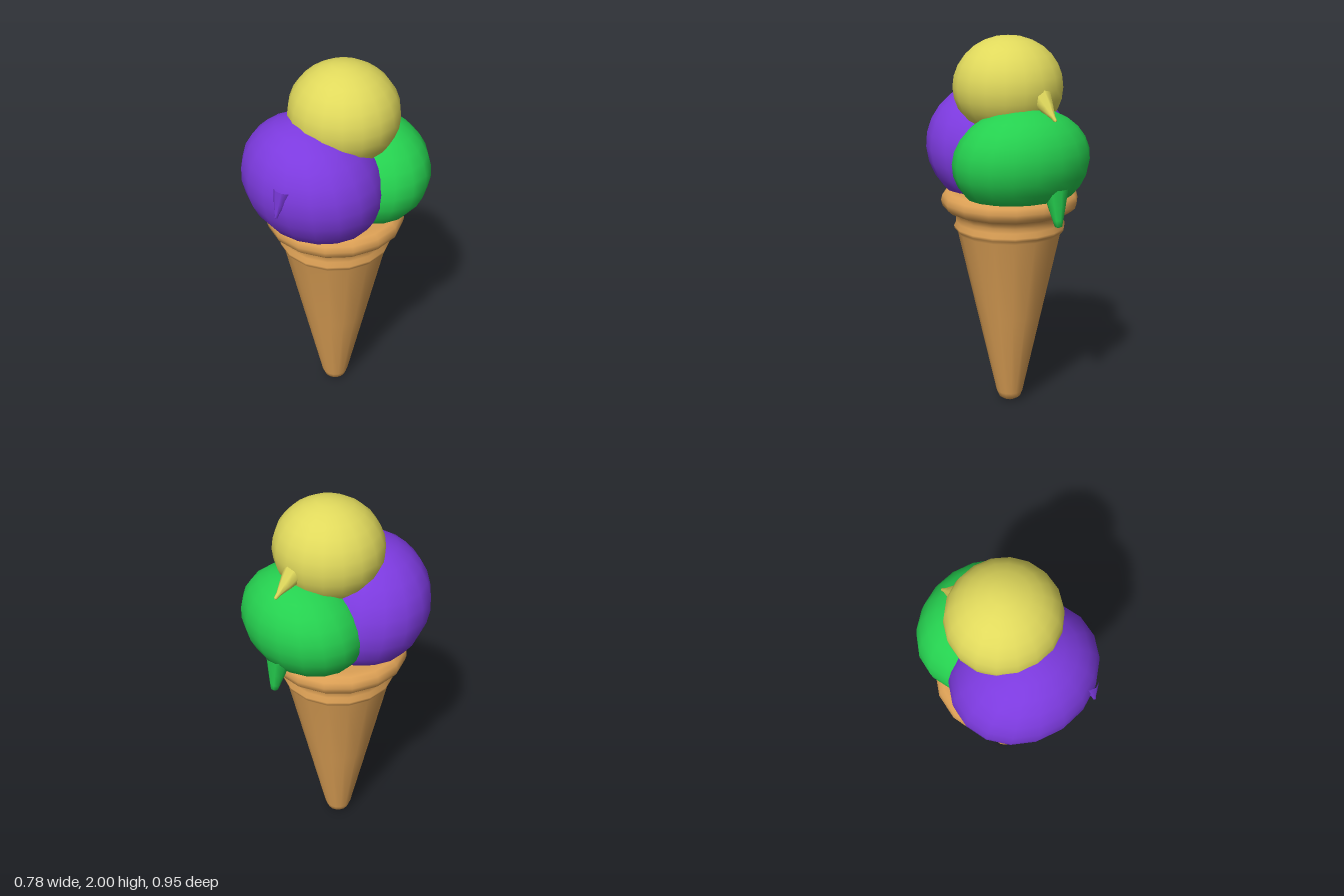
import * as THREE from 'three';

function material(name, color) {
  const m = new THREE.MeshStandardMaterial({ color });
  m.name = name;
  return m;
}

// Ellipsoid scoop: flattened at floorY, leaning along z with height
function scoop(name, mat, [cx, cy, cz], [rx, ry, rz], floorY, lean) {
  const geo = new THREE.SphereGeometry(1, 18, 14);
  const p = geo.attributes.position;
  for (let i = 0; i < p.count; i++) {
    const h = p.getY(i) * ry;
    p.setXYZ(i, cx + p.getX(i) * rx, Math.max(cy + h, floorY), cz + p.getZ(i) * rz + lean * h);
  }
  geo.computeVertexNormals();
  // Weld the normals across the sphere's seam
  const n = geo.attributes.normal, cols = 19;
  for (let r = 0; r < 15; r++) {
    const a = r * cols, b = a + cols - 1;
    const v = new THREE.Vector3().fromBufferAttribute(n, a)
      .add(new THREE.Vector3().fromBufferAttribute(n, b)).normalize();
    if (r === 0 || r === 14) {
      for (let i = a; i <= b; i++) n.setXYZ(i, 0, r ? -1 : 1, 0);
    } else {
      n.setXYZ(a, v.x, v.y, v.z);
      n.setXYZ(b, v.x, v.y, v.z);
    }
  }
  const mesh = new THREE.Mesh(geo, mat);
  mesh.name = name;
  return mesh;
}

// Tapered drip running from base to tip
function drip(name, mat, base, tip, rBase, rTip) {
  const a = new THREE.Vector3(...base), b = new THREE.Vector3(...tip);
  const dir = a.clone().sub(b), len = dir.length();
  const profile = [
    [0, 0], [rTip * 0.7, len * 0.04], [rTip, len * 0.2],
    [(rTip + rBase) * 0.48, len * 0.55], [rBase, len],
  ].map(([r, y]) => new THREE.Vector2(r, y));
  const mesh = new THREE.Mesh(new THREE.LatheGeometry(profile, 8), mat);
  mesh.name = name;
  mesh.position.copy(b);
  mesh.quaternion.setFromUnitVectors(new THREE.Vector3(0, 1, 0), dir.normalize());
  return mesh;
}

export function createModel() {
  const group = new THREE.Group();
  group.name = 'iceCreamCone';
  const wafer = material('wafer', 0xdca055);
  const purple = material('purple ice cream', 0x7c3ade);
  const green = material('green ice cream', 0x25d04f);
  const yellow = material('yellow ice cream', 0xe0d95c);

  // Wafer cone with rounded tip, small ridge and rolled rim
  const profile = [
    [0, 0], [0.035, 0.005], [0.06, 0.022], [0.073, 0.055], [0.175, 0.52], [0.275, 0.975],
    [0.292, 0.995], [0.295, 1.01], [0.283, 1.035], [0.283, 1.06], [0.292, 1.09],
    [0.33, 1.1], [0.353, 1.12], [0.361, 1.15], [0.353, 1.18], [0.33, 1.2], [0.29, 1.205], [0, 1.2],
  ].map(([r, y]) => new THREE.Vector2(r, y));
  const cone = new THREE.Mesh(new THREE.LatheGeometry(profile, 16), wafer);
  cone.name = 'cone';
  group.add(cone);

  // Three scoops
  group.add(
    scoop('frontScoop', purple, [-0.003, 1.415, 0.135], [0.388, 0.34, 0.343], 1.19, 0.12),
    scoop('backScoop', green, [0.03, 1.385, -0.185], [0.362, 0.28, 0.295], 1.195, -0.12),
    scoop('topScoop', yellow, [0.027, 1.745, -0.035], [0.284, 0.255, 0.276], 1.54, 0),
  );

  // Drips
  group.add(
    drip('frontDrip', purple, [0.15, 1.53, 0.42], [0.152, 1.39, 0.468], 0.045, 0.012),
    drip('backDrip', green, [-0.05, 1.27, -0.385], [-0.05, 1.085, -0.42], 0.065, 0.027),
    drip('topDrip', yellow, [-0.03, 1.71, -0.27], [-0.045, 1.61, -0.39], 0.055, 0.012),
  );
  return group;
}
